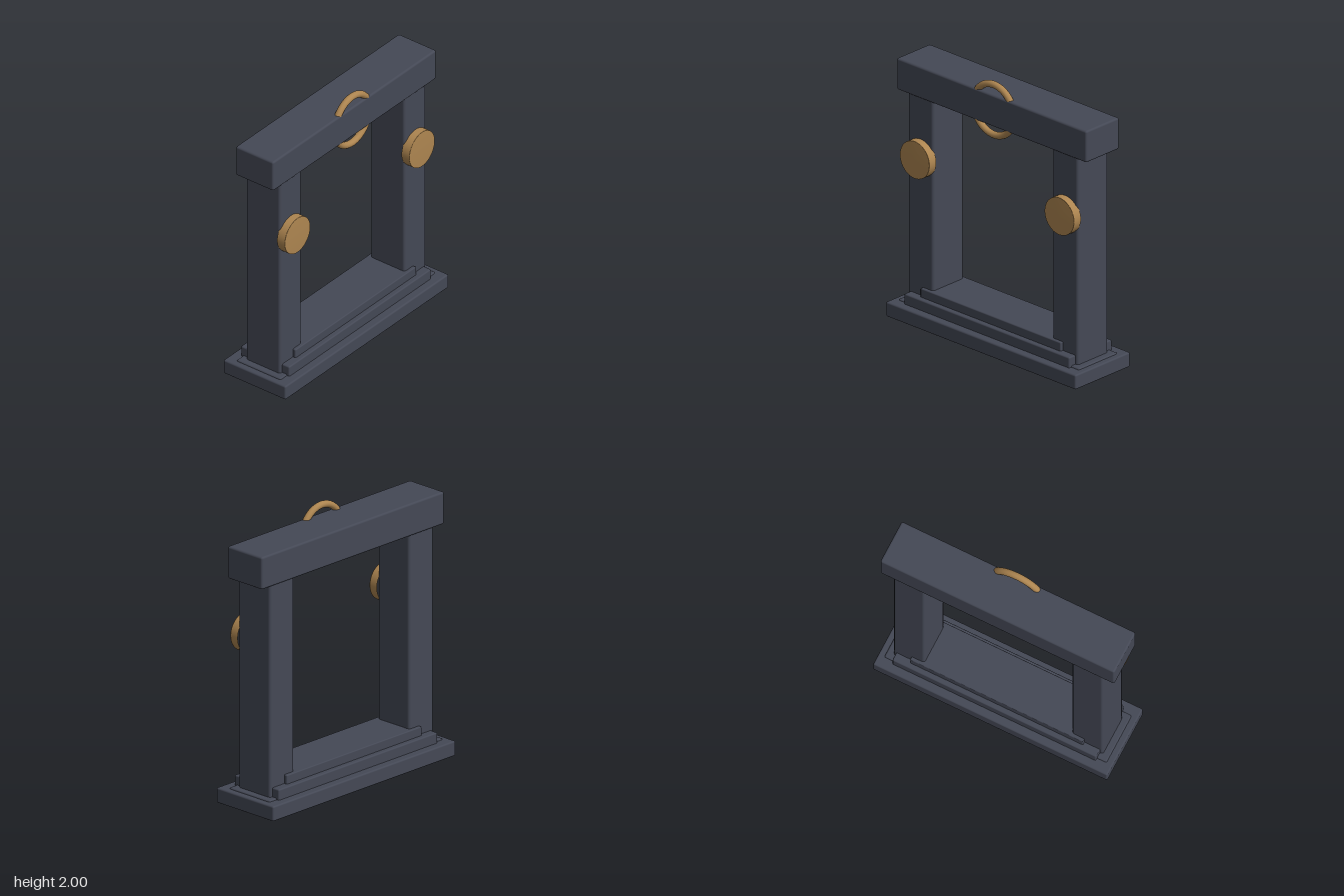
import * as THREE from 'three';
import { RoundedBoxGeometry } from 'three/addons/geometries/RoundedBoxGeometry.js';

export function createModel() {
  const model = new THREE.Group();
  model.name = 'gateway';

  const stone = new THREE.MeshStandardMaterial({ color: 0x444855 });
  stone.name = 'slate stone';
  const bronze = new THREE.MeshStandardMaterial({ color: 0xad8550 });
  bronze.name = 'bronze';

  function add(name, geometry, material, x, y, z) {
    const mesh = new THREE.Mesh(geometry, material);
    mesh.name = name;
    mesh.position.set(x, y, z);
    model.add(mesh);
    return mesh;
  }

  // Block with softened edges, spanning y0 to y1 and centred on z = 0
  function block(name, x, y0, y1, width, depth, radius) {
    const geometry = new RoundedBoxGeometry(width, y1 - y0, depth, 2, radius);
    return add(name, geometry, stone, x, (y0 + y1) / 2, 0);
  }

  // Stepped base
  block('baseSlab', 0, 0, 0.11, 1.8, 0.545, 0.012);
  block('basePlate', 0, 0.08, 0.12, 1.71, 0.385, 0.012);
  block('lowerStep', 0, 0.1, 0.187, 1.565, 0.425, 0.01);
  block('upperStep', 0, 0.17, 0.252, 1.33, 0.35, 0.008);

  // Lintel across the top
  block('lintel', 0, 1.67, 1.907, 1.8, 0.33, 0.015);

  // Softly rounded edge shading on a shallow disc
  const discProfile = [[0, 0.06], [0.138, 0.06], [0.139, 0.055], [0.139, -0.01]]
    .reverse().map(([r, h]) => new THREE.Vector2(r, h));
  const discGeometry = new THREE.LatheGeometry(discProfile, 40);
  discGeometry.rotateX(Math.PI / 2);

  // Pillars, each with a round boss on its front
  for (const [side, sign] of [['left', 1], ['right', -1]]) {
    block(side + 'Pillar', sign * 0.686, 0.1, 1.69, 0.24, 0.302, 0.02);
    add(side + 'Boss', discGeometry, bronze, sign * 0.686, 1.219, 0.15);
  }

  // Ring set into the lintel, showing above and below it
  add('ring', new THREE.TorusGeometry(0.188, 0.025, 14, 56), bronze, 0, 1.787, 0.139);

  return model;
}
